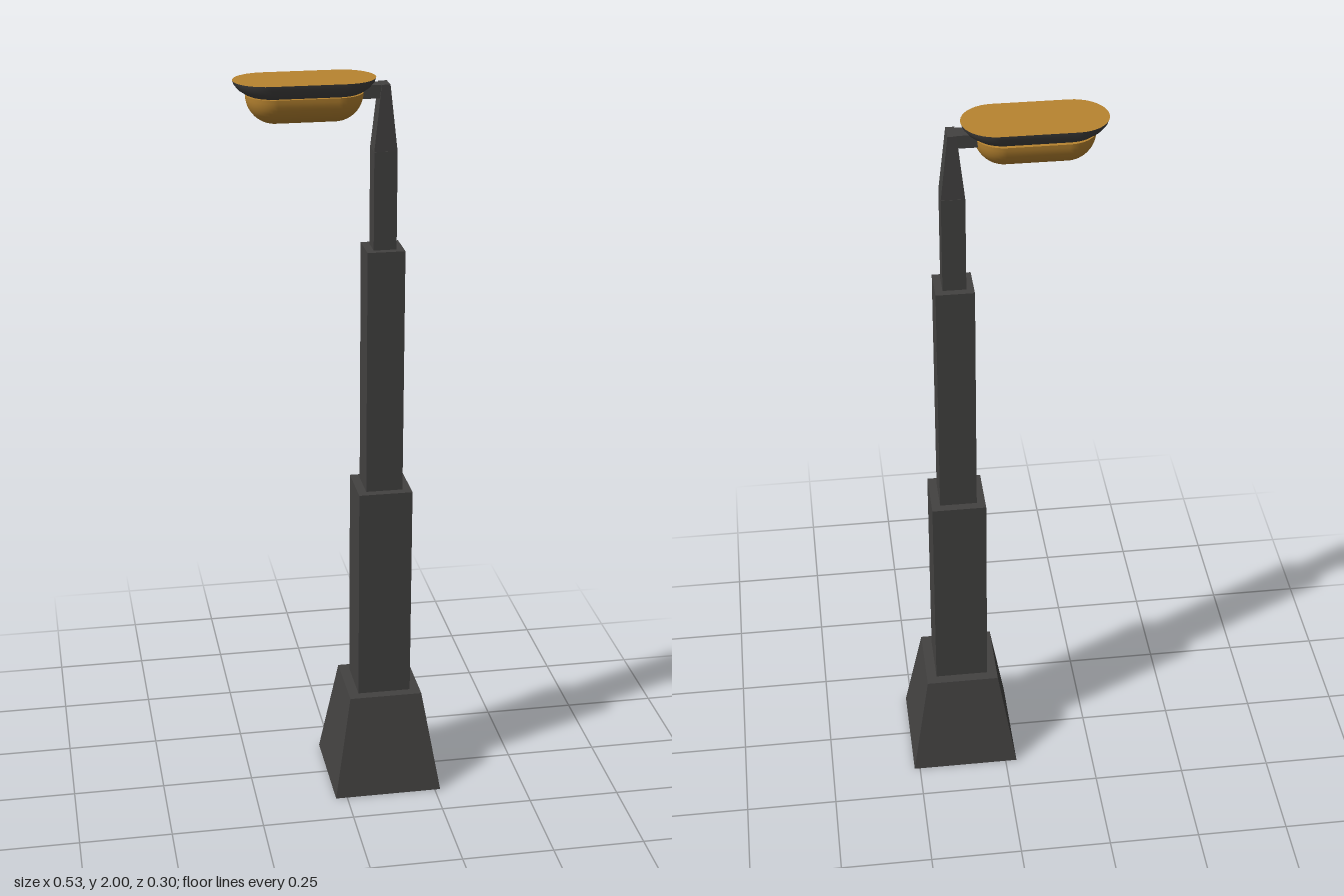
import * as THREE from 'three';

const dark = new THREE.MeshStandardMaterial({ color: 0x434241 });
const amber = new THREE.MeshStandardMaterial({ color: 0xb88430 });

// Box whose top may differ in size from its bottom, standing at height y
function taperedBox(name, x, y, h, bottom, top = bottom) {
  const g = new THREE.BoxGeometry(1, h, 1);
  const p = g.attributes.position;
  for (let i = 0; i < p.count; i++) {
    const s = p.getY(i) > 0 ? top : bottom;
    p.setX(i, p.getX(i) * s[0]);
    p.setZ(i, p.getZ(i) * s[1]);
  }
  g.computeVertexNormals();
  const m = new THREE.Mesh(g, dark);
  m.name = name;
  m.position.set(x, y + h / 2, 0);
  return m;
}

// Loft through stadium outlines: each ring is [half straight length, radius, y]
function stadiumLoft(name, rings, material, arc = 20) {
  const pos = [], idx = [], n = 2 * (arc + 1);
  for (const [len, r, y] of rings)
    for (const side of [1, -1])
      for (let k = 0; k <= arc; k++) {
        const a = -Math.PI / 2 * side + Math.PI * k / arc;
        pos.push(side * len + r * Math.cos(a), y, r * Math.sin(a));
      }
  for (let i = 0; i < rings.length - 1; i++)
    for (let j = 0; j < n; j++) {
      const a = i * n + j, b = i * n + (j + 1) % n;
      idx.push(a, b, a + n, b, b + n, a + n);
    }
  const g = new THREE.BufferGeometry();
  g.setAttribute('position', new THREE.Float32BufferAttribute(pos, 3));
  g.setIndex(idx);
  g.computeVertexNormals();
  const m = new THREE.Mesh(g, material);
  m.name = name;
  return m;
}

export function createModel() {
  const model = new THREE.Group();
  model.name = 'streetLamp';

  // Stepped square post
  const px = 0.117;
  model.add(
    taperedBox('base', px, 0, 0.285, [0.297, 0.297], [0.2, 0.2]),
    taperedBox('lowerPost', px, 0.285, 0.6, [0.145, 0.145]),
    taperedBox('middlePost', px, 0.885, 0.667, [0.099, 0.099]),
    taperedBox('upperPost', px, 1.552, 0.258, [0.06, 0.06]),
    taperedBox('postTip', px, 1.81, 0.17, [0.06, 0.058], [0.022, 0.05]),
    taperedBox('arm', 0.073, 1.945, 0.034, [0.09, 0.042])
  );

  // Lamp head
  const head = new THREE.Group();
  head.name = 'lampHead';
  head.position.set(-0.087, 0, 0.007);
  head.add(stadiumLoft('lampTop', [[0.0955, 0, 2], [0.0955, 0.085, 2]], amber));
  head.add(stadiumLoft('lampRim', [
    [0.0955, 0.085, 2], [0.094, 0.083, 1.99], [0.089, 0.077, 1.977],
    [0.081, 0.068, 1.966], [0.076, 0.058, 1.96], [0.076, 0, 1.96]
  ], dark));

  // Half-round glass below the rim
  const glass = [];
  for (let i = 0; i <= 12; i++) {
    const a = Math.PI / 2 * i / 12;
    glass.push([0.076, 0.073 * Math.cos(a), 1.963 - 0.073 * Math.sin(a)]);
  }
  head.add(stadiumLoft('lampGlass', glass, amber));
  head.add(stadiumLoft('glassLip', [[0.076, 0, 1.963], [0.076, 0.073, 1.963]], amber));
  model.add(head);
  return model;
}
